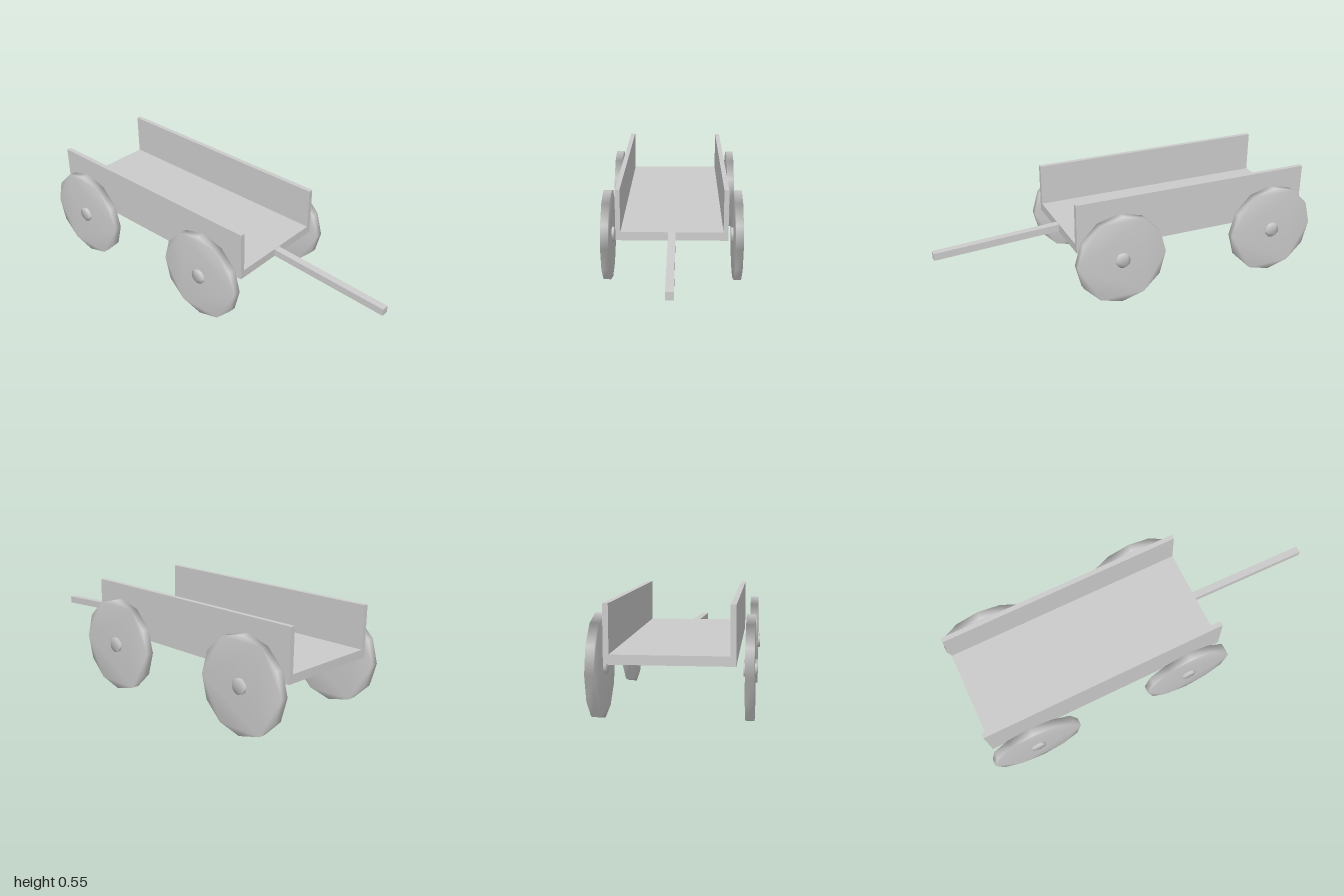
import * as THREE from 'three';
import { mergeVertices } from 'three/addons/utils/BufferGeometryUtils.js';

const material = new THREE.MeshStandardMaterial({ color: 0xcccccc });

function add(parent, name, geometry, x = 0, y = 0, z = 0) {
  const mesh = new THREE.Mesh(geometry, material);
  mesh.name = name;
  mesh.position.set(x, y, z);
  parent.add(mesh);
  return mesh;
}

// Twelve-sided disc along x, with normals smoothed over the rim
function disc(radius, width) {
  const points = [];
  for (let i = 0; i < 12; i++) {
    const a = (i / 12) * Math.PI * 2;
    points.push(new THREE.Vector2(Math.cos(a) * radius, Math.sin(a) * radius));
  }
  let geometry = new THREE.ExtrudeGeometry(new THREE.Shape(points), { depth: width, bevelEnabled: false });
  geometry.translate(0, 0, -width / 2);
  geometry.rotateY(Math.PI / 2);
  geometry.deleteAttribute('normal');
  geometry.deleteAttribute('uv');
  geometry = mergeVertices(geometry);
  geometry.computeVertexNormals();
  return geometry;
}

export function createModel() {
  const cart = new THREE.Group();
  cart.name = 'cart';

  // Open-ended bed with two side boards
  const back = -0.977, front = 0.337;
  const length = front - back, middle = (front + back) / 2;
  add(cart, 'floor', new THREE.BoxGeometry(0.52, 0.044, length), 0, 0.308, middle);
  for (const side of [1, -1]) {
    add(cart, side > 0 ? 'leftBoard' : 'rightBoard',
      new THREE.BoxGeometry(0.025, 0.264, length), side * 0.2725, 0.418, middle);
  }

  // Draw pole, sloping down toward its front end
  const poleLength = 1 - front;
  const pole = new THREE.BoxGeometry(0.038, 0.038, poleLength);
  pole.applyMatrix4(new THREE.Matrix4().set(
    1, 0, 0, 0,
    0, 1, -0.036 / poleLength, 0,
    0, 0, 1, 0,
    0, 0, 0, 1));
  add(cart, 'drawPole', pole, 0, 0.291, front + poleLength / 2);

  // Solid wheels with protruding hubs
  const wheelGeometry = disc(0.2425, 0.04);
  const hubGeometry = disc(0.04, 0.062);
  for (const [end, z] of [['front', 0.12], ['rear', -0.759]]) {
    for (const side of [1, -1]) {
      const wheel = new THREE.Group();
      wheel.name = end + (side > 0 ? 'LeftWheel' : 'RightWheel');
      wheel.position.set(side * 0.342, 0.2425, z);
      add(wheel, 'wheelDisc', wheelGeometry);
      add(wheel, 'hub', hubGeometry);
      cart.add(wheel);
    }
  }
  return cart;
}
